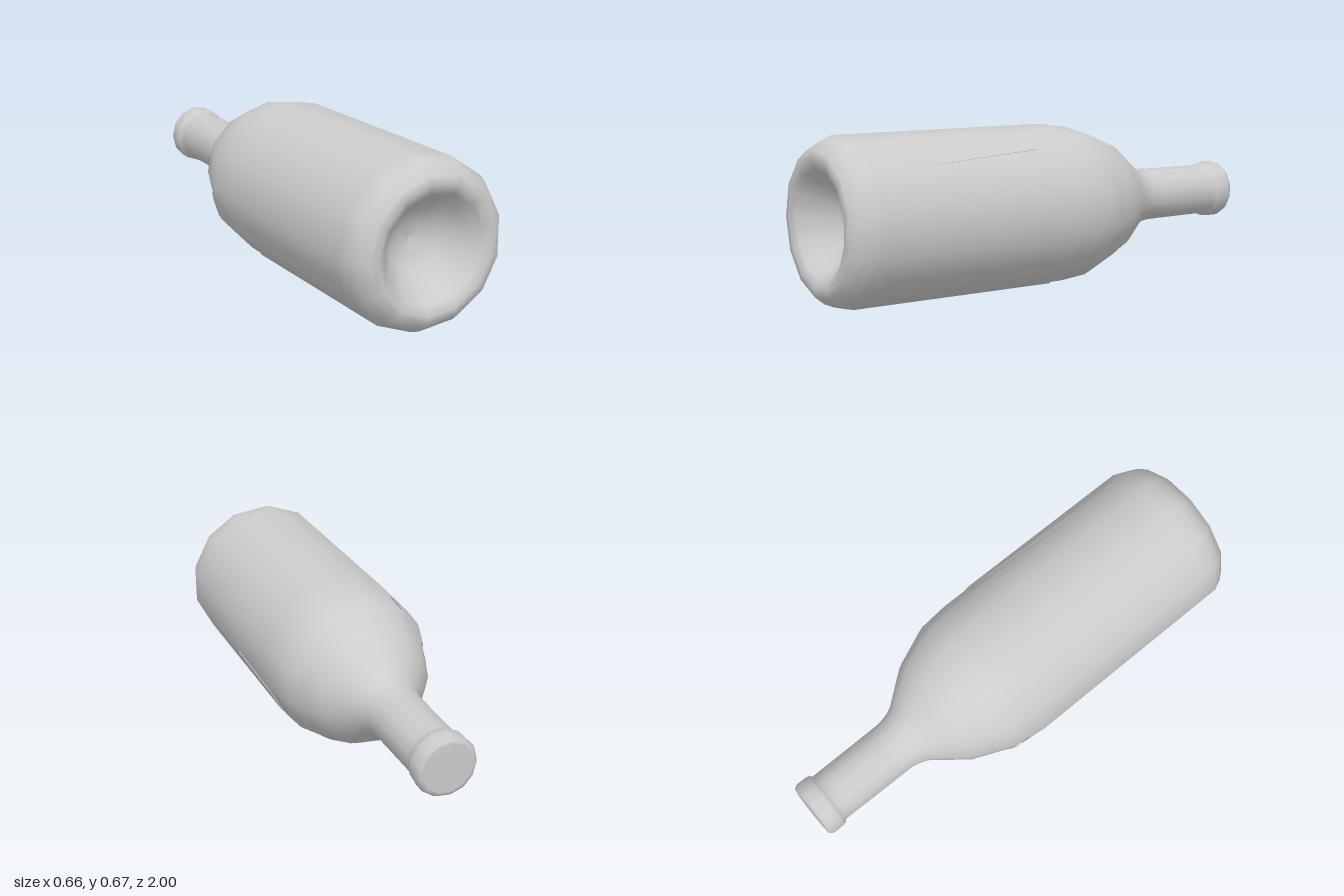
import * as THREE from 'three';

const SIDES = 13, STEP = (Math.PI * 2) / SIDES, R = 0.337;
const mat = new THREE.MeshStandardMaterial({ color: 0xcccccc, side: THREE.DoubleSide });

// Body outline as [z, radius], from the neck to the base
const OUTLINE = [[-0.7, 0.112], [-0.56, 0.114], [-0.5, 0.132], [-0.35, 0.252],
  [-0.18, 0.324], [-0.05, R], [1, R]];

// Jagged break as [degrees around the axis, z]
const BREAK = [[-180, -0.12], [-165, -0.22], [-145, -0.09], [-130, 0.05], [-110, 0], [-90, -0.05],
  [-70, 0], [-53, 0.1], [-45, 0], [-24, 0], [-13.5, 0.32], [7, 0.08], [11, 0.07], [27, 0.15],
  [43, 0.62], [52, 0.1], [57, 0.03], [69, -0.08], [88, -0.12], [97, -0.07], [109, -0.18],
  [125, -0.12], [146, -0.32], [180, -0.12]];

function sample(table, t) {
  let i = 0;
  while (i < table.length - 2 && t > table[i + 1][0]) i++;
  const [a, va] = table[i], [b, vb] = table[i + 1];
  return va + (vb - va) * THREE.MathUtils.clamp((t - a) / (b - a), 0, 1);
}

// Column angles: the corners of the 13-sided section, the break points and a regular fill
const angles = BREAK.map(b => b[0]);
for (let i = 0; i < SIDES * 6; i++) angles.push(-180 + (i * 360) / (SIDES * 6));
angles.sort((a, b) => a - b);
const columns = angles.filter((a, i) => i === 0 || a - angles[i - 1] > 0.01);

// Wall between two z limits (functions of the angle), set in by a given depth
function wall(name, zStart, zEnd, inset) {
  const rows = 28, pos = [], nor = [], idx = [];
  columns.forEach((deg, c) => {
    const t = THREE.MathUtils.degToRad(deg);
    const local = ((t + Math.PI) % STEP) - STEP / 2;
    const facet = Math.cos(STEP / 2) / Math.cos(local);
    const z0 = zStart(deg), z1 = zEnd(deg);
    for (let j = 0; j <= rows; j++) {
      const z = z0 + ((z1 - z0) * j) / rows;
      const r = sample(OUTLINE, z) * facet - inset(z);
      const slope = (sample(OUTLINE, z + 0.06) - sample(OUTLINE, z - 0.06)) / 0.12;
      const n = new THREE.Vector3(Math.cos(t), Math.sin(t), -slope).normalize();
      pos.push(r * Math.cos(t), r * Math.sin(t), z);
      nor.push(n.x, n.y, n.z);
      if (c < columns.length - 1 && j < rows) {
        const a = c * (rows + 1) + j, b = a + rows + 1;
        idx.push(a, b, b + 1, a, b + 1, a + 1);
      }
    }
  });
  const g = new THREE.BufferGeometry();
  g.setAttribute('position', new THREE.Float32BufferAttribute(pos, 3));
  g.setAttribute('normal', new THREE.Float32BufferAttribute(nor, 3));
  g.setIndex(idx);
  const mesh = new THREE.Mesh(g, mat);
  mesh.name = name;
  return mesh;
}

// Turned part along the z axis, points given as [radius, z]
function turned(name, points) {
  const g = new THREE.LatheGeometry(points.map(p => new THREE.Vector2(...p)), SIDES, -Math.PI / 2);
  g.rotateX(Math.PI / 2);
  const mesh = new THREE.Mesh(g, mat);
  mesh.name = name;
  return mesh;
}

export function createModel() {
  const bottle = new THREE.Group();
  bottle.name = 'brokenBottle';
  const edge = deg => sample(BREAK, deg);

  // Lower shell up to the break, and the shoulder tucked slightly beneath it
  bottle.add(wall('lowerBody', edge, () => 0.86, () => 0));
  bottle.add(wall('shoulder', () => -0.62, deg => edge(deg) + 0.03,
    z => 0.005 * THREE.MathUtils.clamp((z + 0.56) / 0.25, 0, 1)));

  // Base with rounded heel and deep hollow
  bottle.add(turned('base', [[R, 0.86], [R, 0.91], [0.318, 0.955], [0.285, 0.995], [0.25, 1],
    [0.215, 0.985], [0.18, 0.93], [0.12, 0.86], [0.06, 0.83], [0, 0.82]]));

  // Neck, lip and closed mouth
  bottle.add(turned('neckAndLip', [[0, -1], [0.1, -1], [0.114, -0.998], [0.125, -0.98],
    [0.125, -0.935], [0.121, -0.92], [0.111, -0.912], [0.111, -0.88], [0.113, -0.62]]));

  bottle.position.set(0.004, 0.335, 0);
  const model = new THREE.Group();
  model.add(bottle);
  return model;
}
